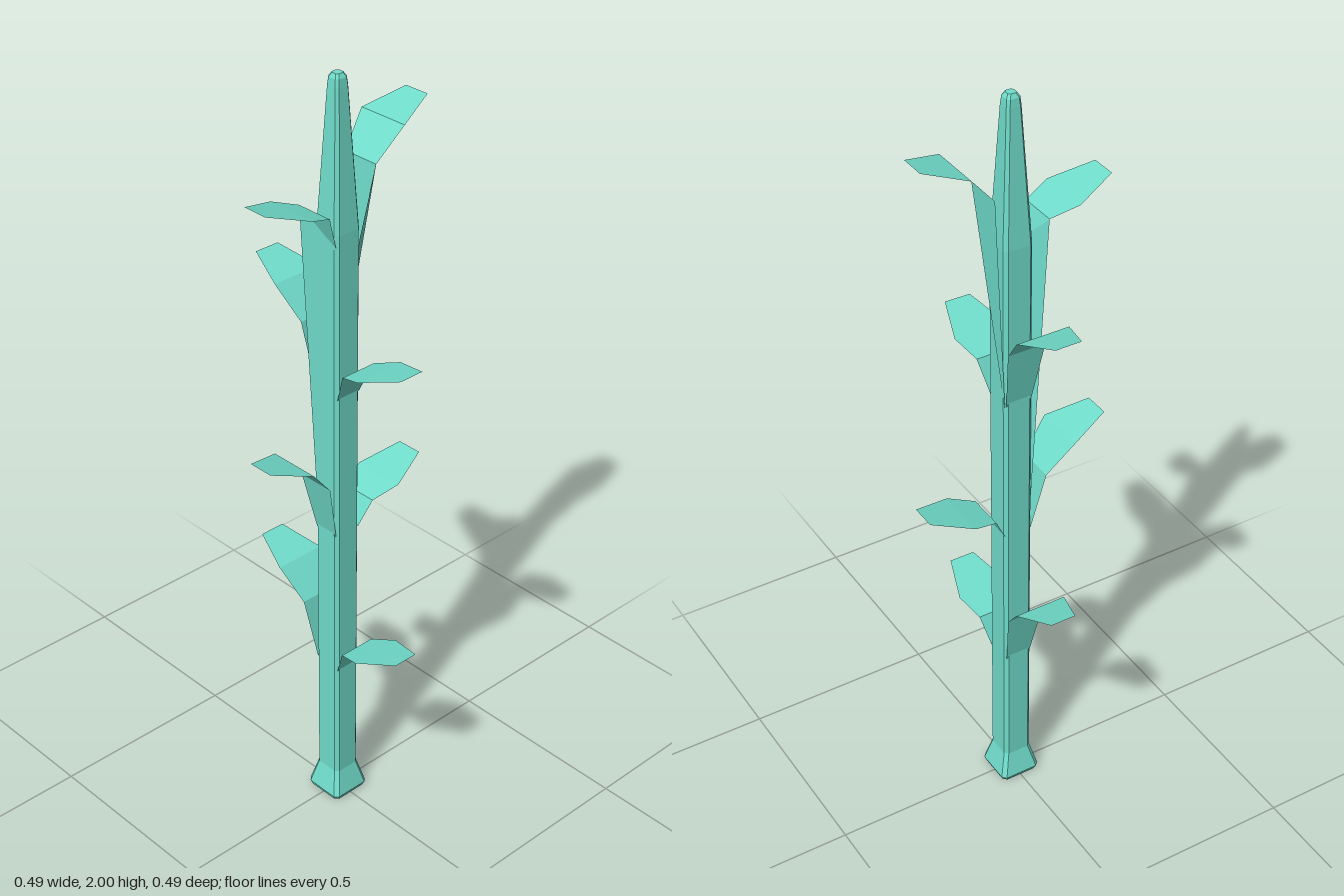
import * as THREE from 'three';

const material = new THREE.MeshStandardMaterial({ color: 0x70dccb, flatShading: true, side: THREE.DoubleSide });

// Skins a list of equal-length cross-sections (arrays of [x, y, z])
function loft(sections, closed) {
  const n = sections[0].length;
  const index = [];
  for (let i = 0; i < sections.length - 1; i++) {
    for (let j = 0; j < (closed ? n : n - 1); j++) {
      const a = i * n + j, b = i * n + (j + 1) % n;
      index.push(a, b, b + n, a, b + n, a + n);
    }
  }
  if (closed) {
    // End caps
    const top = (sections.length - 1) * n;
    for (let j = 1; j < n - 1; j++) {
      index.push(0, j + 1, j, top, top + j, top + j + 1);
    }
  }
  const g = new THREE.BufferGeometry();
  g.setAttribute('position', new THREE.Float32BufferAttribute(sections.flat(2), 3));
  g.setIndex(index);
  const flat = g.toNonIndexed();
  flat.computeVertexNormals();
  return flat;
}

// Bevelled square ring, anticlockwise seen from above
function ring(y, h, bevel) {
  const c = h - bevel;
  return [[h, c], [c, h], [-c, h], [-h, c], [-h, -c], [-c, -h], [c, -h], [h, -c]]
    .map(([x, z]) => [x, y, z]).reverse();
}

// Leaf pointing along +z: rows of [outward, height, half width] from root to tip
function leafGeometry(tipY, drop, rootLeft, rootRight) {
  const rows = [
    [0.07, tipY - drop, 0.05],
    [0.138, tipY - 0.033, 0.069],
    [0.243, tipY, 0.034],
  ].map(([z, y, w]) => [[-w, y, z], [w, y, z]]);
  const root = [[-0.034, rootLeft, 0.036], [0.034, rootRight, 0.036]];
  return loft([...rows.reverse(), root], false);
}

export function createModel() {
  const model = new THREE.Group();

  // Square stem with flared foot and tapered, rounded tip
  const profile = [
    [0, 0.05, 0.01], [0.012, 0.055, 0.01], [0.08, 0.038, 0.009], [1.63, 0.038, 0.009],
    [1.97, 0.019, 0.006], [1.99, 0.017, 0.006], [2, 0.011, 0.005],
  ];
  const stem = new THREE.Mesh(loft(profile.map((p) => ring(...p)), true), material);
  stem.name = 'stem';
  model.add(stem);

  // Leaves: direction, tip height, drop from tip to bend, root heights of both edges
  const flat = 0.057, steep = 0.112;
  const front = 0, left = Math.PI / 2, back = Math.PI, right = -Math.PI / 2;
  const leaves = [
    ['lowerLeftLeaf', left, 0.545, flat, 0.41, 0.41],
    ['lowerRightLeaf', right, 0.69, steep, 0.42, 0.42],
    ['lowerBackLeaf', back, 0.945, flat, 0.82, 0.82],
    ['lowerFrontLeaf', front, 1.09, steep, 0.82, 0.82],
    ['upperLeftLeaf', left, 1.345, flat, 1.205, 1.205],
    ['upperRightLeaf', right, 1.49, steep, 1.21, 1.21],
    // The top pair has one root edge drawn far down the stem
    ['upperFrontLeaf', front, 1.747, flat, 0.92, 1.6],
    ['upperBackLeaf', back, 1.89, steep, 1.6, 1.2],
  ];
  for (const [name, angle, ...shape] of leaves) {
    const leaf = new THREE.Mesh(leafGeometry(...shape), material);
    leaf.name = name;
    leaf.rotation.y = angle;
    model.add(leaf);
  }
  return model;
}
